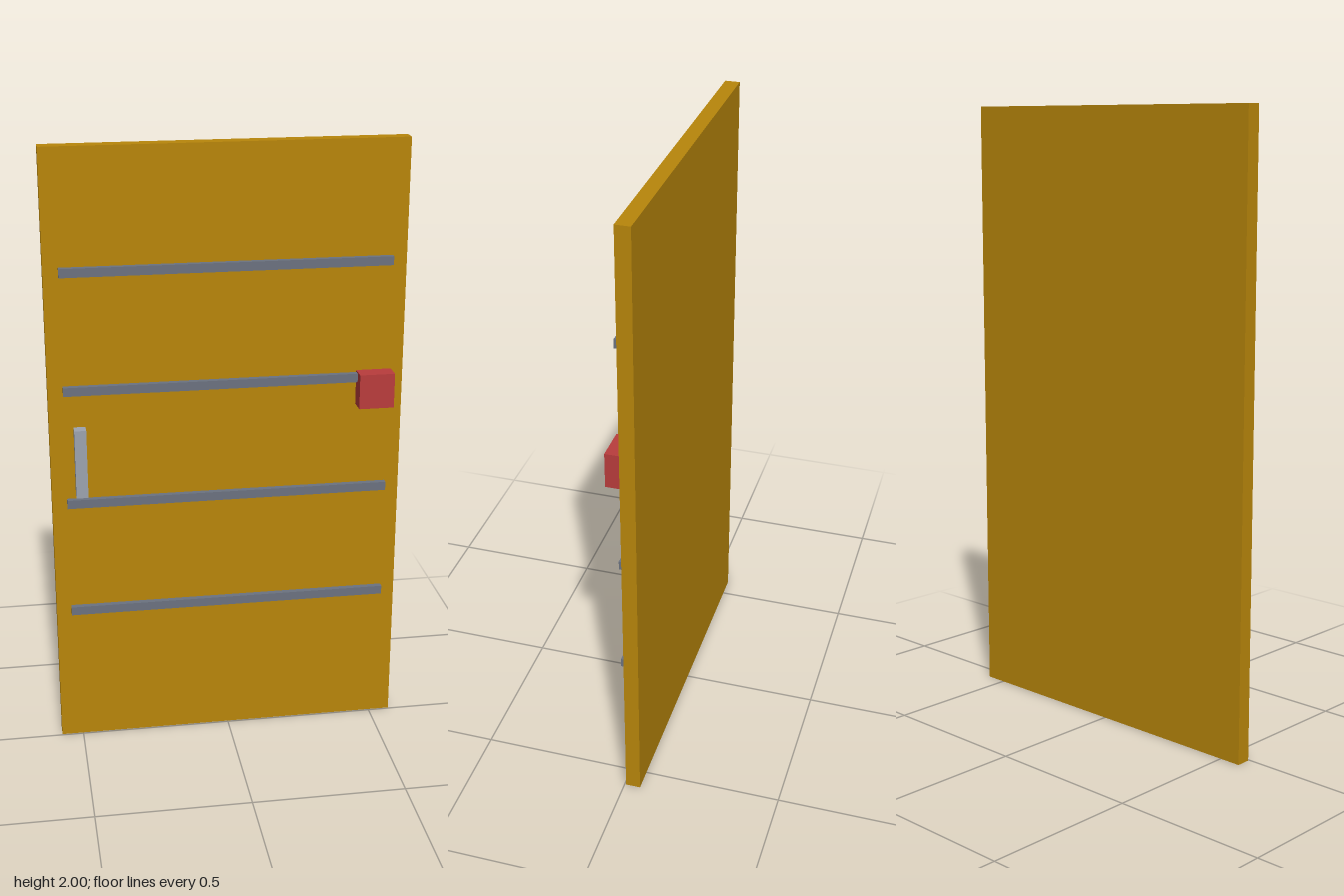
import * as THREE from 'three';

export function createModel() {
  const group = new THREE.Group();
  const paint = (color) => new THREE.MeshStandardMaterial({ color });
  const gold = paint(0xb8860b);
  const slate = paint(0x6b7280);
  const silver = paint(0x9ca3af);
  const red = paint(0xb93c3c);

  // Box whose back face lies at zBack
  function addBox(name, [w, h, d], [x, y, zBack], material) {
    const mesh = new THREE.Mesh(new THREE.BoxGeometry(w, h, d), material);
    mesh.name = name;
    mesh.position.set(x, y, zBack + d / 2);
    group.add(mesh);
  }

  // Door slab
  addBox('doorPanel', [1.143, 2, 0.0476], [0, 1, -0.0524], gold);

  // Four horizontal bars, standing just off the panel
  for (let i = 0; i < 4; i++) {
    addBox(`crossBar${i + 1}`, [1.048, 0.0286, 0.019], [0, 0.476 + i * 0.381, 0], slate);
  }

  // Upright pull handle
  addBox('handle', [0.038, 0.2286, 0.038], [-0.476, 1, 0], silver);

  // Lock box on the opposite edge
  addBox('lockBox', [0.114, 0.114, 0.0572], [0.476, 1.2, -0.0048], red);

  return group;
}
